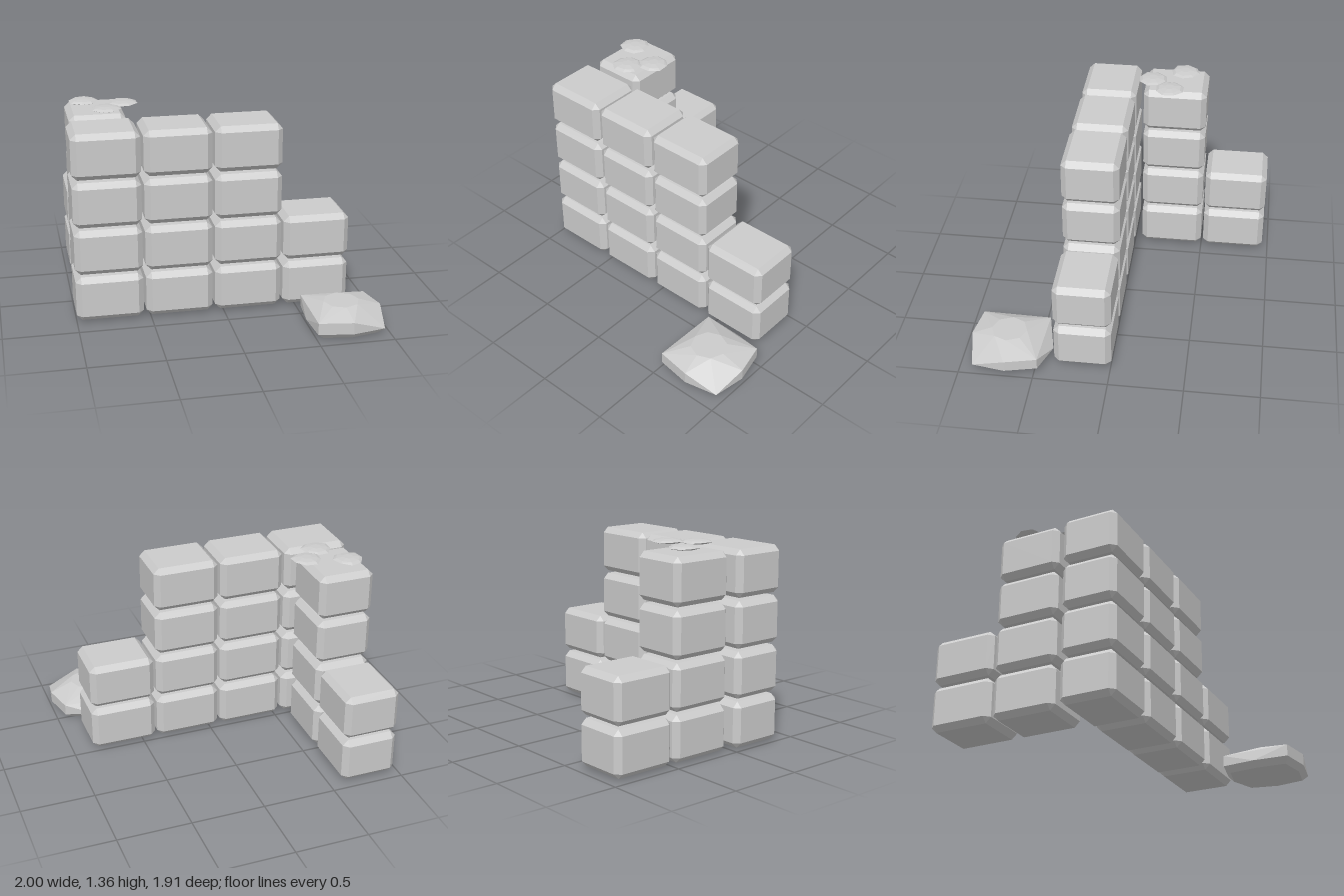
import * as THREE from 'three';
import { ConvexGeometry } from 'three/addons/geometries/ConvexGeometry.js';

const material = new THREE.MeshStandardMaterial({ color: 0xcccccc, flatShading: true });

function hull(name, points) {
  const mesh = new THREE.Mesh(new ConvexGeometry(points), material);
  mesh.name = name;
  return mesh;
}

// Box with every edge cut at 45 degrees: three corner points per corner
function chamferedBlock(name, w, h, d, c) {
  const points = [];
  for (const sx of [-1, 1]) for (const sy of [-1, 1]) for (const sz of [-1, 1]) {
    const x = w / 2, y = h / 2, z = d / 2;
    points.push(
      new THREE.Vector3(sx * x, sy * (y - c), sz * (z - c)),
      new THREE.Vector3(sx * (x - c), sy * y, sz * (z - c)),
      new THREE.Vector3(sx * (x - c), sy * (y - c), sz * z));
  }
  return hull(name, points);
}

// Eight-sided flat stone from rings of [radius, height]
function pebble(rings, turn) {
  const points = [];
  rings.forEach(([r, y], k) => {
    for (let i = 0; i < 8; i++) {
      const a = turn + (i * Math.PI) / 4;
      const wobble = 1 + 0.05 * Math.sin(i * 2.3 + turn * 5);
      const lift = k === 1 ? 0.003 * Math.cos(i * 1.7 + turn) : 0;
      points.push(new THREE.Vector3(Math.cos(a) * r * wobble, y + lift, Math.sin(a) * r * wobble));
    }
  });
  return hull('pebble', points);
}

export function createModel() {
  const model = new THREE.Group();
  const rowY = (row) => 0.168 + row * 0.328;

  // Front wall, stepping down at its left end
  const frontWall = new THREE.Group();
  frontWall.name = 'frontWall';
  [4, 4, 4, 2].forEach((height, col) => {
    for (let row = 0; row < height; row++) {
      const block = chamferedBlock('frontBlock', 0.452, 0.309, 0.384, 0.037);
      block.position.set(-0.774 + col * 0.47, rowY(row), 0.188);
      frontWall.add(block);
    }
  });
  model.add(frontWall);

  // Side wall running back from the right corner
  const sideWall = new THREE.Group();
  sideWall.name = 'sideWall';
  [4, 2].forEach((height, col) => {
    for (let row = 0; row < height; row++) {
      const block = chamferedBlock('sideBlock', 0.385, 0.309, 0.444, 0.037);
      block.position.set(-0.777, rowY(row), -0.275 - col * 0.461);
      sideWall.add(block);
    }
  });
  model.add(sideWall);

  // Large fallen rock: outline as [x, z, shoulder height]
  const outline = [
    [0.51, 0.455, 0.115], [0.735, 0.402, 0.04], [0.945, 0.477, 0.115], [0.995, 0.69, 0.115],
    [0.96, 0.91, 0.04], [0.735, 0.955, 0.12], [0.505, 0.92, 0.12], [0.489, 0.68, 0.04],
  ];
  const rockPoints = [];
  outline.forEach(([x, z, y], i) => {
    const a = Math.atan2(z - 0.69, x - 0.735);
    rockPoints.push(
      new THREE.Vector3(x, y, z),
      new THREE.Vector3(x, 0.04, z),
      new THREE.Vector3(0.735 + (x - 0.735) * 0.82, 0, 0.69 + (z - 0.69) * 0.86),
      new THREE.Vector3(0.72 + 0.12 * Math.cos(a), 0.17, 0.7 + 0.12 * Math.sin(a)));
  });
  model.add(hull('rock', rockPoints));

  // Three thin pebbles resting over the side wall
  const pebbles = new THREE.Group();
  pebbles.name = 'pebbles';
  const rings = [[0.07, 1.33], [0.102, 1.341], [0.08, 1.352], [0.035, 1.358]];
  [[-0.848, -0.328, 0.15], [-0.588, -0.236, 0.4], [-0.717, -0.108, 0.3]].forEach(([x, z, turn]) => {
    const stone = pebble(rings, turn);
    stone.position.set(x, 0, z);
    pebbles.add(stone);
  });
  model.add(pebbles);

  return model;
}
